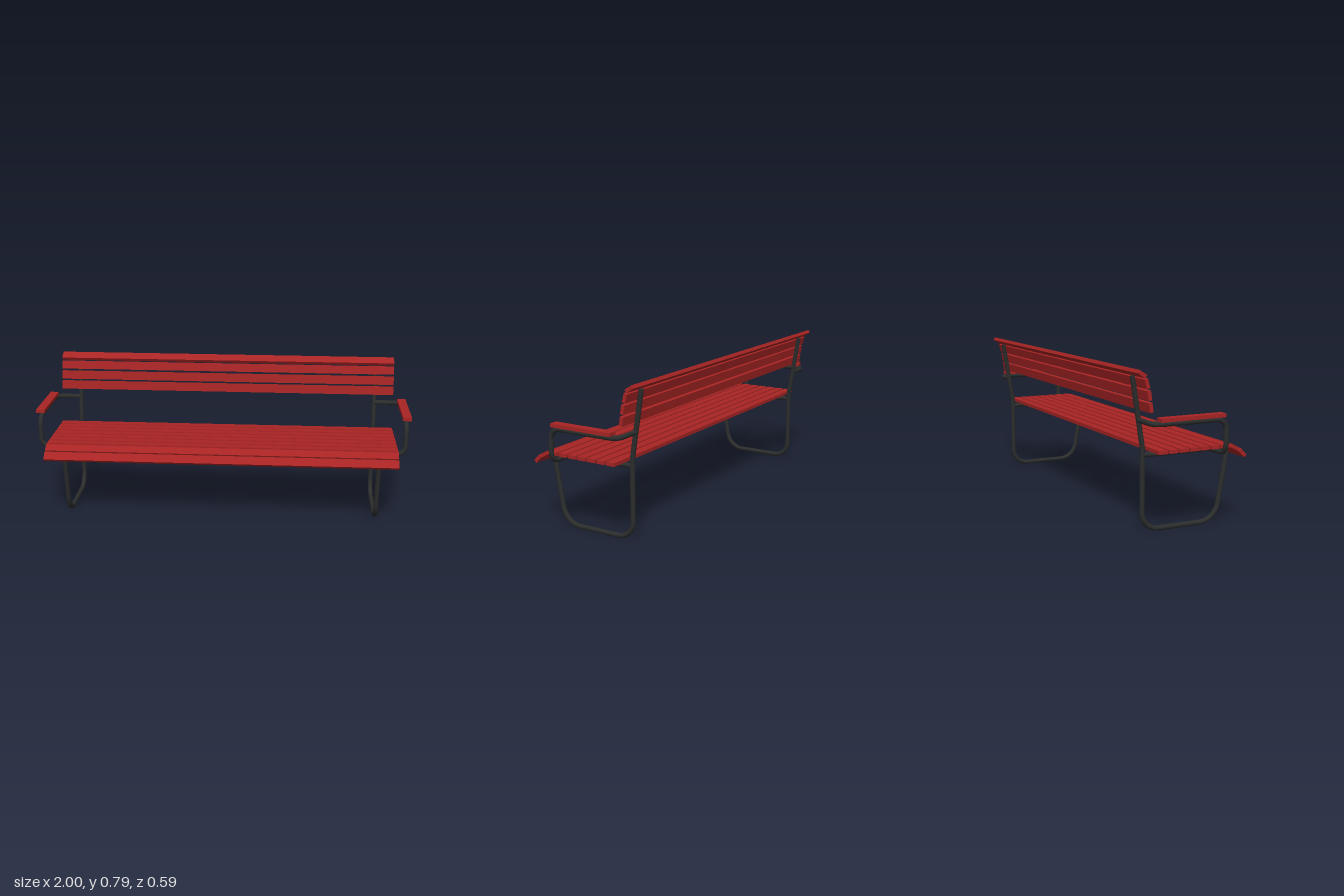
import * as THREE from 'three';

const TUBE_R = 0.0125;
const HALF_LENGTH = 0.932;
const SLAT_W = 0.046;
const SLAT_T = 0.018;

// Polyline with rounded corners: each point is [x, y, z, cornerRun]
function roundedPath(points) {
  const path = new THREE.CurvePath();
  const v = points.map(([x, y, z]) => new THREE.Vector3(x, y, z));
  let start = v[0];
  for (let i = 1; i < v.length - 1; i++) {
    const run = points[i][3];
    const a = v[i].clone().add(v[i - 1].clone().sub(v[i]).setLength(run));
    const b = v[i].clone().add(v[i + 1].clone().sub(v[i]).setLength(run));
    path.add(new THREE.LineCurve3(start, a));
    path.add(new THREE.CubicBezierCurve3(a, a.clone().lerp(v[i], 0.55), b.clone().lerp(v[i], 0.55), b));
    start = b;
  }
  path.add(new THREE.LineCurve3(start, v[v.length - 1]));
  return path;
}

export function createModel() {
  const model = new THREE.Group();
  model.name = 'bench';
  const red = new THREE.MeshStandardMaterial({ name: 'red slats', color: 0xa82424 });
  const black = new THREE.MeshStandardMaterial({ name: 'black steel', color: 0x2b2c2c });

  function add(parent, name, geometry, material) {
    const mesh = new THREE.Mesh(geometry, material);
    mesh.name = name;
    parent.add(mesh);
    return mesh;
  }

  // Bent pipe with a closing disc on each end
  function pipe(parent, name, points, segments) {
    const path = roundedPath(points);
    add(parent, name, new THREE.TubeGeometry(path, segments, TUBE_R, 14), black);
    for (const t of [0, 1]) {
      const cap = add(parent, name + 'Cap', new THREE.CircleGeometry(TUBE_R, 14), black);
      const p = path.getPointAt(t);
      cap.position.copy(p);
      cap.lookAt(p.clone().addScaledVector(path.getTangentAt(t), t ? 1 : -1));
    }
  }

  // Full-length slat: centre in z and y, tilt about x in degrees
  function slat(name, z, y, tilt = 0) {
    const mesh = add(model, name, new THREE.BoxGeometry(HALF_LENGTH * 2, SLAT_T, SLAT_W), red);
    mesh.position.set(0, y, z);
    mesh.rotation.x = THREE.MathUtils.degToRad(tilt);
  }

  // Seat: seven flat slats and two that roll over the front edge
  for (let i = 0; i < 7; i++) slat('seatSlat', 0.175 - i * 0.0563, 0.4);
  slat('frontSlatUpper', 0.23, 0.389, 28);
  slat('frontSlatLower', 0.272, 0.36, 45);

  // Backrest: three leaning slats and a rolled top slat
  slat('backSlat', -0.228, 0.612, 81);
  slat('backSlat', -0.236, 0.668, 81);
  slat('backSlat', -0.249, 0.723, 75);
  slat('topSlat', -0.274, 0.768, 33);

  for (const s of [1, -1]) {
    const side = new THREE.Group();
    side.name = s > 0 ? 'leftSide' : 'rightSide';
    model.add(side);
    const x = 0.83 * s, out = 0.973 * s;

    // Back post, floor runner, front leg and seat rail from one pipe
    pipe(side, 'frame', [
      [x, 0.75, -0.272],
      [x, 0.405, -0.217, 0.012],
      [x, 0.014, -0.217, 0.085],
      [x, 0.014, 0.187, 0.085],
      [x, 0.375, 0.2515, 0.036],
      [x, 0.375, -0.217],
    ], 180);

    // Arm loop from the back post out, forward, down and in to the seat rail
    pipe(side, 'armLoop', [
      [x, 0.541, -0.236],
      [out, 0.541, -0.236, 0.045],
      [out, 0.541, 0.15, 0.055],
      [out, 0.375, 0.15, 0.045],
      [x, 0.375, 0.15],
    ], 120);

    // Wooden arm pad
    const pad = add(side, 'armPad', new THREE.BoxGeometry(0.046, SLAT_T, 0.342), red);
    pad.position.set(0.977 * s, 0.562, -0.041);
  }
  return model;
}
